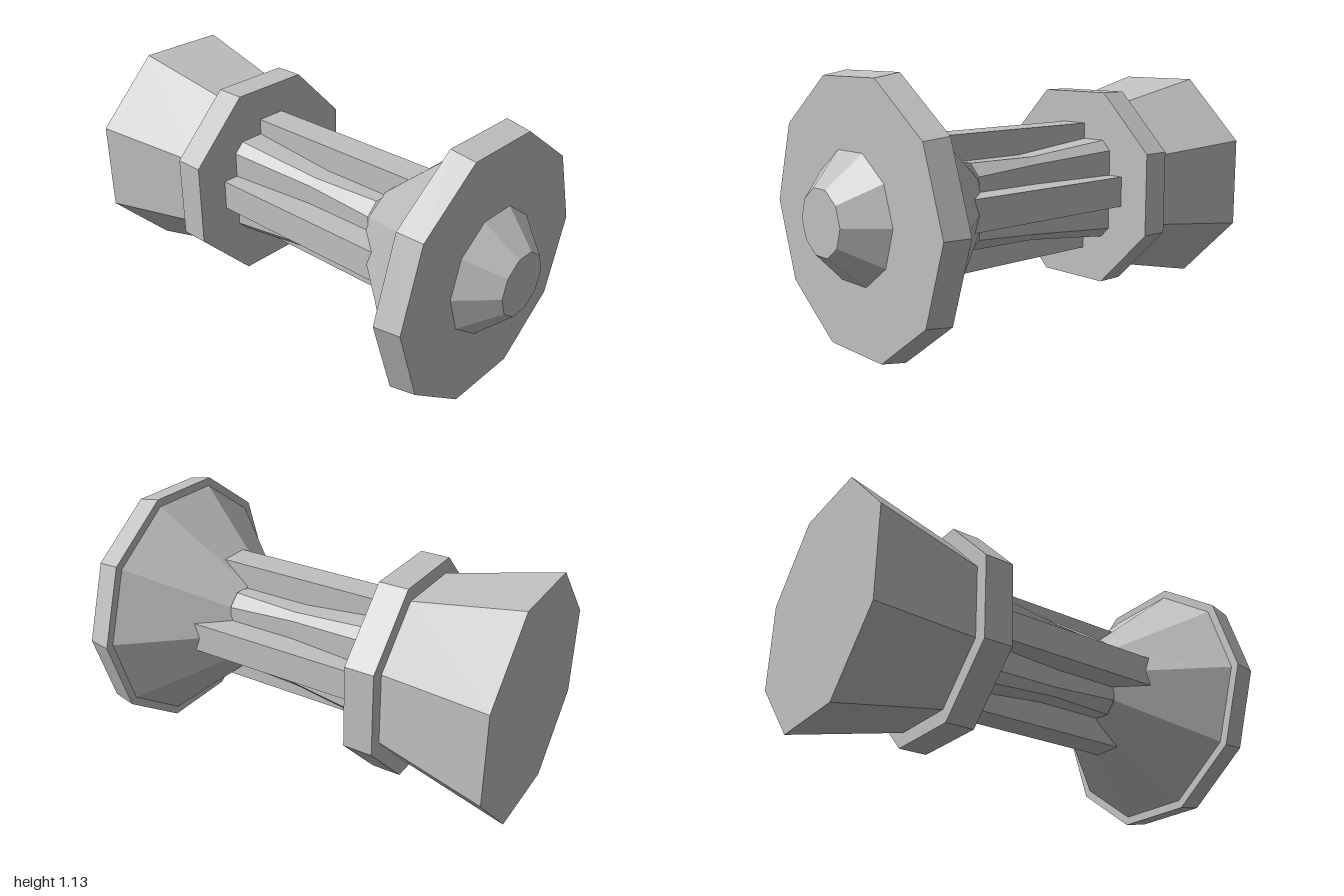
import * as THREE from 'three';

const AXIS_Y = 0.568;

export function createModel() {
  const group = new THREE.Group();
  const grey = new THREE.MeshStandardMaterial({ color: 0xc0c0c0, flatShading: true });
  grey.name = 'plain grey';

  const add = (name, geometry) => {
    const mesh = new THREE.Mesh(geometry, grey);
    mesh.name = name;
    mesh.position.y = AXIS_Y;
    group.add(mesh);
  };

  // Faceted frustum lying along z, from zBack to zFront
  const frustum = (name, sides, start, zBack, rBack, zFront, rFront) => {
    const g = new THREE.CylinderGeometry(rFront, rBack, zFront - zBack, sides, 1, false, start);
    g.rotateX(Math.PI / 2).translate(0, 0, (zFront + zBack) / 2);
    add(name, g);
  };

  // Ten-sided head, with corners on the left and right
  const ten = Math.PI / 2;
  frustum('frontKnob', 10, ten, 0.86, 0.275, 1.0, 0.138);
  frustum('headRim', 10, ten, 0.75, 0.595, 0.86, 0.575);
  frustum('headCone', 10, ten, 0.36, 0.205, 0.75, 0.557);

  // Eight-sided collar and base, with flat tops
  const eight = Math.PI / 8;
  const corner = (apothem) => apothem / Math.cos(eight);
  frustum('collar', 8, eight, -0.51, corner(0.444), -0.38, corner(0.444));
  frustum('flaredBase', 8, eight, -1.0, corner(0.487), -0.51, corner(0.382));

  // Chamfered square shaft, widening toward the collar: [z, outer, inner]
  const rings = [[-0.39, 0.227, 0.182], [0.04, 0.184, 0.154], [0.37, 0.184, 0.132]];
  const points = [];
  for (const [z, a, b] of rings) {
    const section = [[a, -b], [a, b], [b, a], [-b, a], [-a, b], [-a, -b], [-b, -a], [b, -a]];
    for (const [x, y] of section) points.push(x, y, z);
  }
  const index = [];
  for (let r = 0; r < rings.length - 1; r++) {
    for (let i = 0; i < 8; i++) {
      const p = r * 8 + i, q = r * 8 + (i + 1) % 8;
      index.push(p, q, q + 8, p, q + 8, p + 8);
    }
  }
  const shaft = new THREE.BufferGeometry();
  shaft.setAttribute('position', new THREE.Float32BufferAttribute(points, 3));
  shaft.setIndex(index);
  shaft.computeVertexNormals();
  add('shaft', shaft);

  // Crossed ribs running from the collar into the cone
  const zBack = -0.4, zFront = 0.6;
  for (const [name, w, h] of [['sideRibs', 0.6, 0.136], ['uprightRibs', 0.136, 0.596]]) {
    const rib = new THREE.BoxGeometry(w, h, zFront - zBack);
    rib.translate(0, 0, (zFront + zBack) / 2);
    add(name, rib);
  }

  return group;
}
